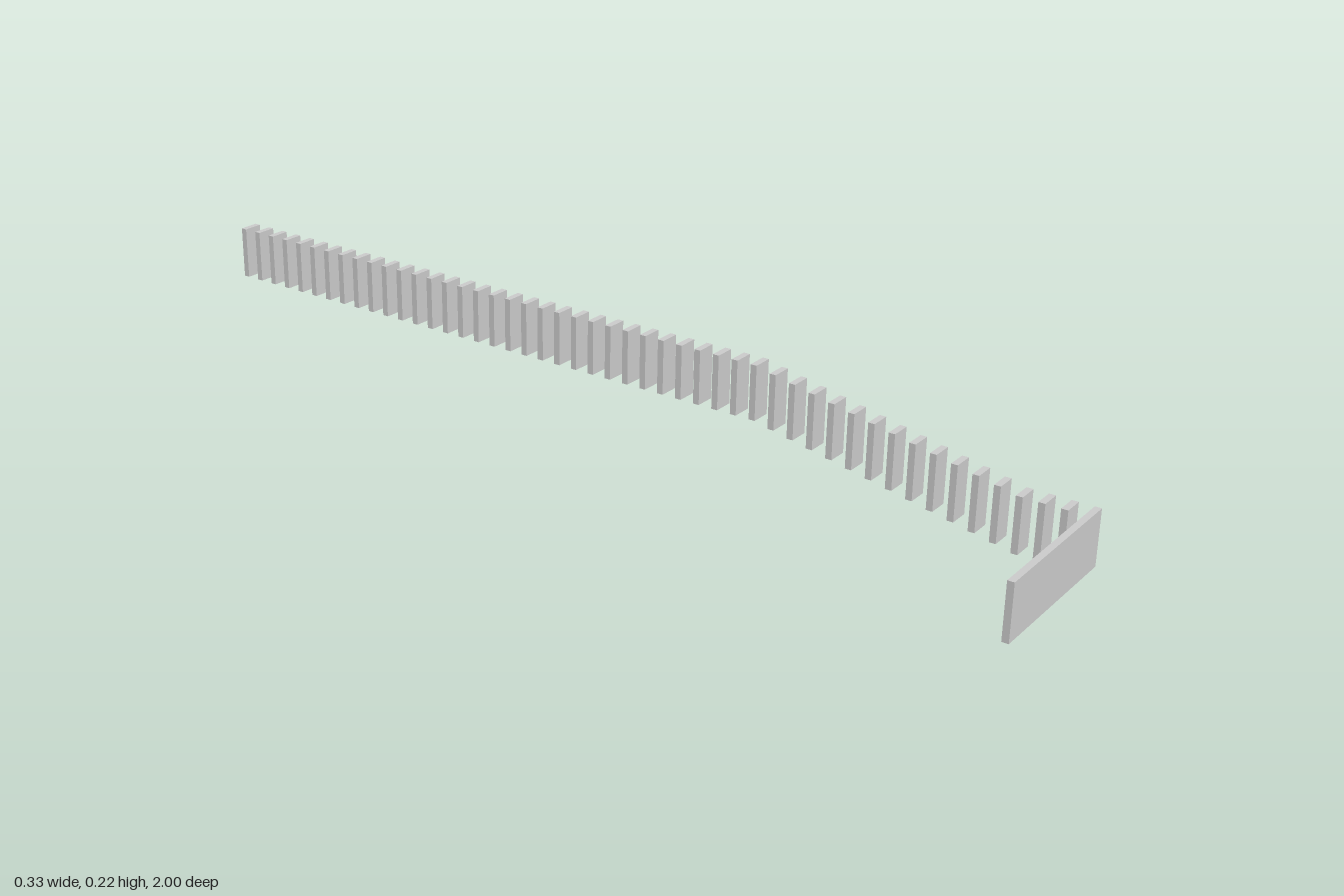
import * as THREE from 'three';

export function createModel() {
  const group = new THREE.Group();
  group.name = 'steppedFence';
  const material = new THREE.MeshStandardMaterial({ color: 0xcccccc, flatShading: true });

  const count = 49, thickness = 0.013, height = 0.11;
  const pitch = (2 - thickness) / (count - 1);
  const rightEdge = 0.1655, slatWidth = 0.042, panelWidth = 0.331;

  // The run stays level, climbs in equal steps, then stays level again
  const climbStart = 3, climbSteps = 13, rise = 0.1098;
  const baseAt = (i) => rise * THREE.MathUtils.clamp((i - climbStart) / climbSteps, 0, 1);

  const addBoard = (name, width, i) => {
    const board = new THREE.Mesh(new THREE.BoxGeometry(width, height, thickness), material);
    board.name = name;
    board.position.set(rightEdge - width / 2, baseAt(i) + height / 2, 1 - thickness / 2 - i * pitch);
    group.add(board);
  };

  // Wide panel closing the front end
  addBoard('frontPanel', panelWidth, 0);

  // Row of narrow upright slats running back
  for (let i = 1; i < count; i++) addBoard(`slat${i}`, slatWidth, i);

  return group;
}
